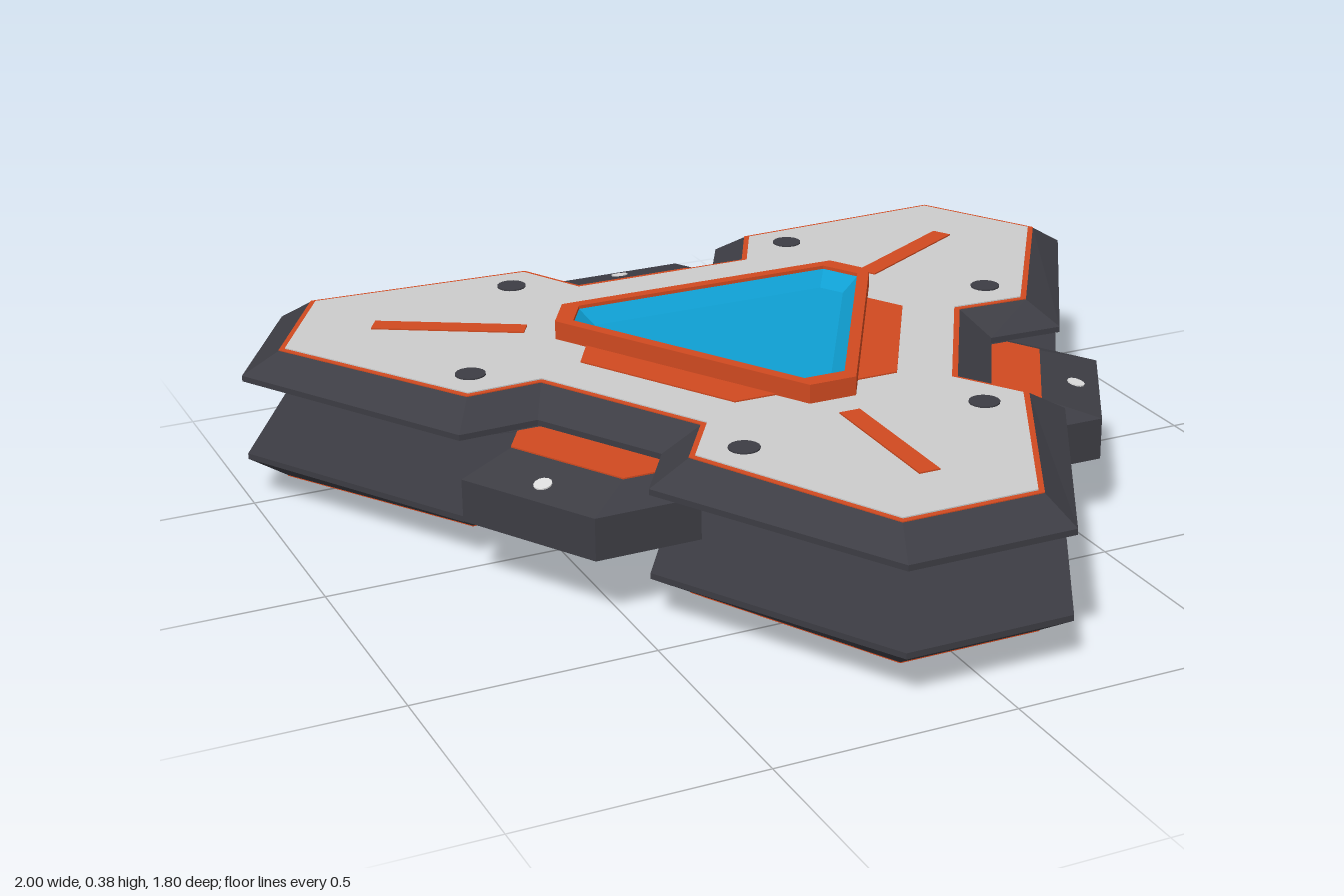
import * as THREE from 'three';

const mat = (name, color) => {
  const m = new THREE.MeshStandardMaterial({ color });
  m.name = name;
  return m;
};

// Point at distance d from the centre and sideways offset u, on the axis turned clockwise by a.
// Vector2 holds (x, -z).
const at = (u, d, a) => new THREE.Vector2(
  d * Math.sin(a) + u * Math.cos(a), d * Math.cos(a) - u * Math.sin(a));

// Repeats side points and tip points three times around the centre.
function threefold(side, tip) {
  const pts = [];
  for (let k = 0; k < 3; k++) {
    const a = k * Math.PI * 2 / 3;
    side.forEach(([u, d]) => pts.push(at(u, d, a)));
    tip.forEach(([u, d]) => pts.push(at(u, d, a + Math.PI / 3)));
  }
  return pts.reverse();
}
const plateOutline = (u1, d1, u2, d2, tipU, tipD) => threefold(
  [[-u1, d1], [-u2, d2], [u2, d2], [u1, d1]], [[-tipU, tipD], [tipU, tipD]]);
const triangle = (u, d) => threefold([], [[-u, d], [u, d]]);
const polygon = (pts) => pts.map(([u, d]) => at(u, d, 0)).reverse();

// Joins matching outlines at given heights with flat faces, with optional end caps.
function loft(rings, capTop = true, capBottom = false) {
  const pos = [];
  const put = (p, y) => pos.push(p.x, y, -p.y);
  for (let r = 0; r < rings.length - 1; r++) {
    const [A, ya] = rings[r], [B, yb] = rings[r + 1];
    for (let i = 0; i < A.length; i++) {
      const j = (i + 1) % A.length;
      put(A[i], ya); put(A[j], ya); put(B[j], yb);
      put(A[i], ya); put(B[j], yb); put(B[i], yb);
    }
  }
  const cap = ([pts, y], flip) => {
    for (const [a, b, c] of THREE.ShapeUtils.triangulateShape(pts, [])) {
      (flip ? [a, c, b] : [a, b, c]).forEach((i) => put(pts[i], y));
    }
  };
  if (capTop) cap(rings[rings.length - 1], false);
  if (capBottom) cap(rings[0], true);
  const g = new THREE.BufferGeometry();
  g.setAttribute('position', new THREE.Float32BufferAttribute(pos, 3));
  g.computeVertexNormals();
  return g;
}

export function createModel() {
  const dark = mat('charcoal', 0x3d3d44);
  const grey = mat('light grey', 0xcccccc);
  const orange = mat('orange', 0xd04a20);
  const cyan = mat('cyan', 0x0f9fd2);
  const silver = mat('silver', 0xdddddd);

  const add = (parent, name, geo, material, x = 0, y = 0, z = 0) => {
    const m = new THREE.Mesh(geo, material);
    m.name = name;
    m.position.set(x, y, z);
    parent.add(m);
    return m;
  };

  function createHalf(name) {
    const half = new THREE.Group();
    half.name = name;

    // Bevelled armour plate, orange edge line and grey face
    const outer = plateOutline(0.235, 0.67, 0.155, 0.52, 0.178, 1.05);
    const inner = plateOutline(0.275, 0.595, 0.2, 0.45, 0.15, 0.975);
    const face = plateOutline(0.282, 0.583, 0.207, 0.438, 0.143, 0.963);
    add(half, 'armourPlate',
      loft([[outer, 0.0825], [outer, 0.095], [inner, 0.1425]], true, true), dark);
    add(half, 'edgeLine', loft([[inner, 0.1425], [inner, 0.1445]]), orange);
    add(half, 'plateFace', loft([[face, 0.143], [face, 0.147]]), grey);

    // Raised triangular frame around the recessed window
    const frame = triangle(0.052, 0.403);
    const rim = triangle(0.045, 0.365);
    const floor = triangle(0.03, 0.33);
    add(half, 'windowFrame',
      loft([[frame, 0.1425], [frame, 0.1875], [rim, 0.1875], [rim, 0.18]], false), orange);
    add(half, 'window', loft([[rim, 0.18], [floor, 0.149]]), cyan);

    const lobe = polygon([[-0.265, 0.205], [-0.245, 0.24], [-0.195, 0.325],
      [0.195, 0.325], [0.245, 0.24], [0.265, 0.205]]);
    const blockOuter = polygon([[-0.165, 0.75], [0.165, 0.75], [0.275, 0.555],
      [0.165, 0.42], [-0.165, 0.42], [-0.275, 0.555]]);
    const blockTop = polygon([[-0.14, 0.625], [0.14, 0.625], [0.18, 0.555],
      [0.14, 0.485], [-0.14, 0.485], [-0.18, 0.555]]);

    for (let k = 0; k < 3; k++) {
      // Side: frame flange, connector block, its panel and screw
      const side = new THREE.Group();
      side.name = 'side' + (k + 1);
      side.rotation.y = -k * Math.PI * 2 / 3;
      half.add(side);
      add(side, 'frameFlange', loft([[lobe, 0.1425], [lobe, 0.15]]), orange);
      add(side, 'connectorBlock',
        loft([[blockOuter, 0], [blockOuter, 0.045], [blockTop, 0.075]]), dark);
      add(side, 'connectorPanel', loft([[blockTop, 0.075], [blockTop, 0.078]]), orange);
      add(side, 'connectorScrew', new THREE.CylinderGeometry(0.019, 0.019, 0.006, 12),
        silver, 0, 0.057, -0.7).rotation.x = -0.235;

      // Arm: centre stripe and two bolts
      const arm = new THREE.Group();
      arm.name = 'arm' + (k + 1);
      arm.rotation.y = -(k * 2 + 1) * Math.PI / 3;
      half.add(arm);
      add(arm, 'armStripe', new THREE.BoxGeometry(0.045, 0.006, 0.33),
        orange, 0, 0.147, -0.64);
      for (const s of [-1, 1]) {
        add(arm, 'armBolt', new THREE.CylinderGeometry(0.032, 0.032, 0.006, 16),
          dark, s * 0.266, 0.147, -0.548);
      }
    }
    return half;
  }

  // Two identical halves, the lower one turned over
  const model = new THREE.Group();
  model.name = 'triangularDevice';
  const upper = createHalf('upperHalf');
  const lower = createHalf('lowerHalf');
  lower.rotation.z = Math.PI;
  for (const h of [upper, lower]) {
    h.position.set(0, 0.1875, -0.155);
    model.add(h);
  }
  return model;
}
